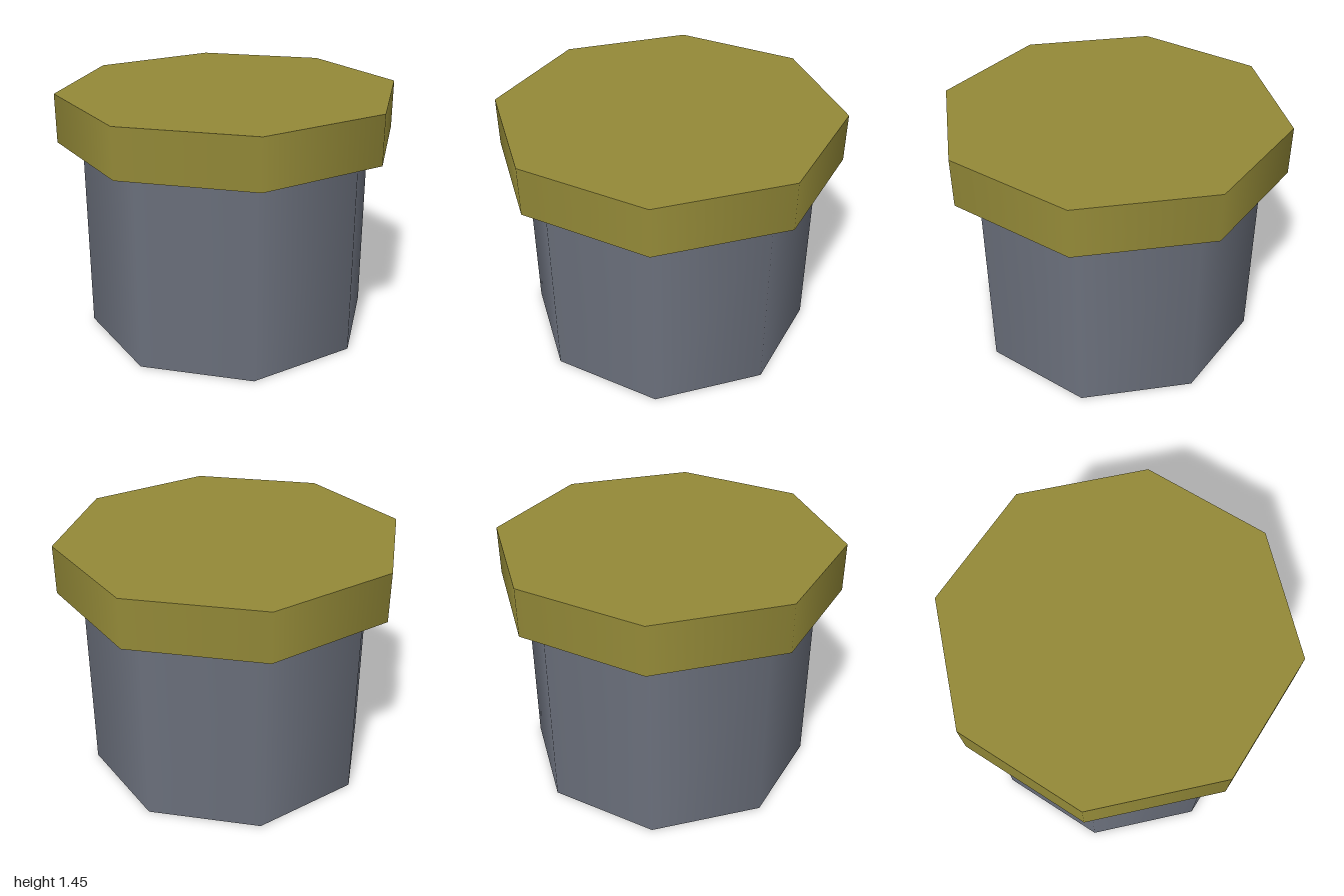
import * as THREE from 'three';

const SIDES = 8;

// Upright eight-sided drum with smooth-shaded sides, spanning bottom to top
function drum(name, radius, bottom, top, color) {
  const geometry = new THREE.CylinderGeometry(radius, radius, top - bottom, SIDES);
  const mesh = new THREE.Mesh(geometry, new THREE.MeshStandardMaterial({ color }));
  mesh.name = name;
  mesh.position.y = (bottom + top) / 2;
  return mesh;
}

export function createModel() {
  const model = new THREE.Group();
  model.name = 'cappedDrum';
  model.add(
    drum('body', 0.857, 0, 1.16, 0x6b707c), // grey-blue base
    drum('cap', 1, 1.16, 1.445, 0x948a38), // wider olive lid
  );
  return model;
}
